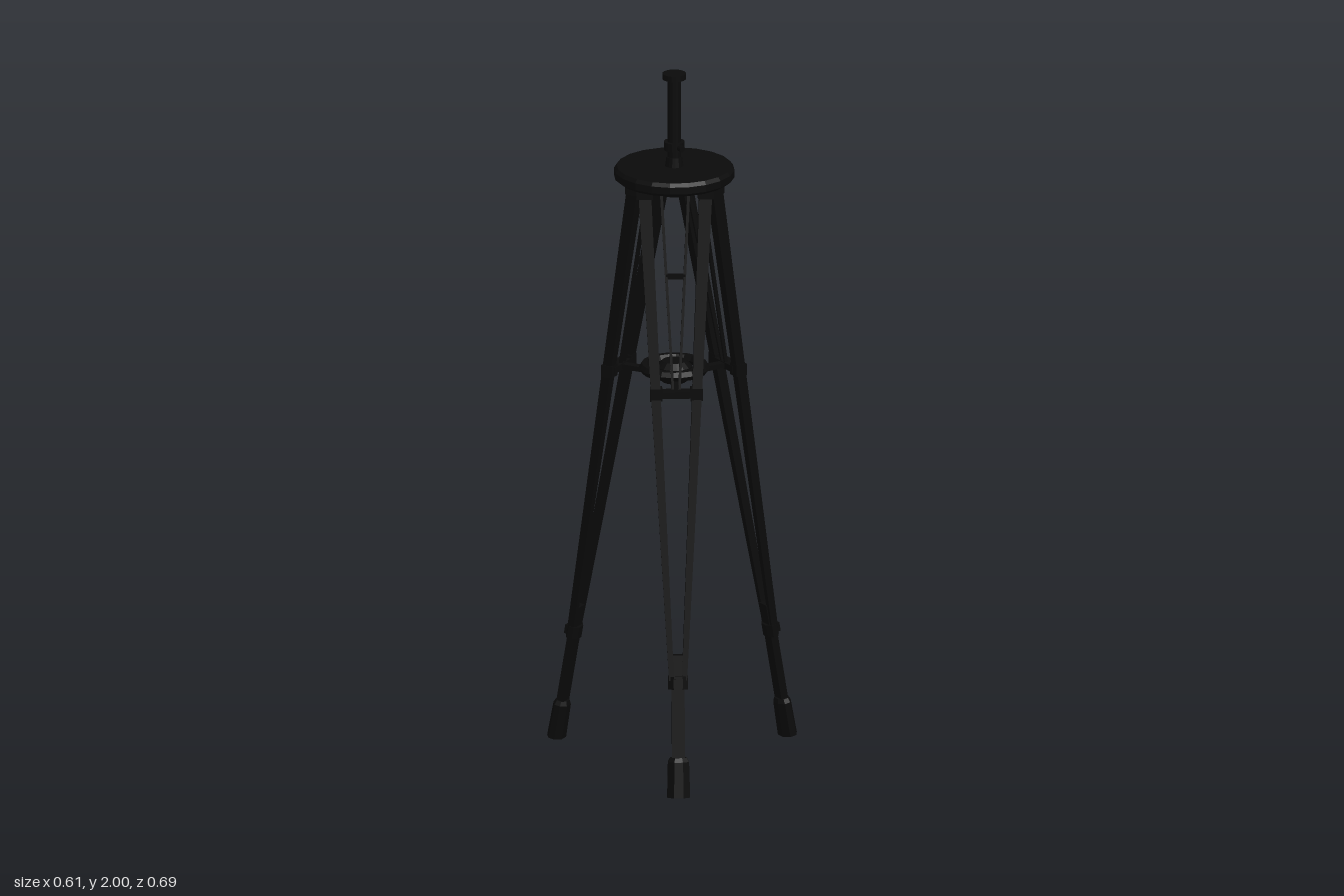
import * as THREE from 'three';

const mat = new THREE.MeshStandardMaterial({ color: 0x0a0a0a, flatShading: true, side: THREE.DoubleSide });
const AXIS_X = -0.088;           // the column stands off centre
const TILT = Math.atan(0.178);   // lean of each leg

function add(parent, name, geometry, x = 0, y = 0, z = 0) {
  const mesh = new THREE.Mesh(geometry, mat);
  mesh.name = name;
  mesh.position.set(x, y, z);
  parent.add(mesh);
  return mesh;
}

// Solid of revolution from [radius, height] pairs
function turned(profile, sides) {
  return new THREE.LatheGeometry(profile.map(([r, y]) => new THREE.Vector2(r, y)), sides);
}

// Tapered bar between two points; sections are [depth in x, width in z]
function beam(a, b, sa, sb) {
  const geo = new THREE.BoxGeometry(1, 1, 1);
  const p = geo.attributes.position;
  for (let i = 0; i < p.count; i++) {
    const t = p.getY(i) + 0.5;
    const mix = (u, v) => u + (v - u) * t;
    p.setXYZ(i,
      mix(a[0], b[0]) + p.getX(i) * mix(sa[0], sb[0]),
      mix(a[1], b[1]),
      mix(a[2], b[2]) + p.getZ(i) * mix(sa[1], sb[1]));
  }
  geo.computeVertexNormals();
  return geo;
}

// Eight-sided sleeve, wider across the leg than along its lean
function sleeve(rTop, rBottom, height, stretch) {
  const geo = new THREE.CylinderGeometry(rTop, rBottom, height, 8, 1, false, Math.PI / 8);
  geo.scale(1, 1, stretch);
  return geo;
}

// One leg, pointing along +x from the column axis
function makeLeg() {
  const leg = new THREE.Group();
  leg.name = 'leg';
  for (const s of [-1, 1]) {
    add(leg, 'legRail', beam([0.314, 0.33, s * 0.018], [0.074, 1.70, s * 0.086], [0.02, 0.014], [0.034, 0.036]));
    add(leg, 'braceRod', beam([0.163, 1.13, s * 0.009], [0.062, 1.67, s * 0.038], [0.01, 0.007], [0.01, 0.008]));
    add(leg, 'hingeBlock', new THREE.BoxGeometry(0.045, 0.04, 0.045), 0.075, 1.682, s * 0.085);
    add(leg, 'railBracket', new THREE.BoxGeometry(0.034, 0.034, 0.034), 0.175, 1.12, s * 0.056);
  }
  add(leg, 'braceCrossbar', new THREE.BoxGeometry(0.01, 0.014, 0.054), 0.105, 1.44, 0);
  add(leg, 'legCrossbar', new THREE.BoxGeometry(0.036, 0.018, 0.11), 0.175, 1.12, 0);
  add(leg, 'spreaderArm', new THREE.BoxGeometry(0.13, 0.014, 0.024), 0.115, 1.12, 0);

  // Lower leg, built upright and then leaned
  const lower = new THREE.Group();
  lower.name = 'lowerLeg';
  lower.position.set(0.37, 0.004, 0);
  lower.rotation.z = TILT;
  add(lower, 'lowerTube', new THREE.BoxGeometry(0.022, 0.33, 0.036), 0, 0.235, 0);
  add(lower, 'clamp', sleeve(0.02, 0.02, 0.036, 1.5), 0, 0.322, 0);
  add(lower, 'clampLever', new THREE.BoxGeometry(0.014, 0.026, 0.026), 0.018, 0.322, 0);
  add(lower, 'foot', sleeve(0.023, 0.025, 0.1, 1.38), 0, 0.05, 0);
  add(lower, 'footCollar', sleeve(0.018, 0.023, 0.012, 1.38), 0, 0.106, 0);
  leg.add(lower);
  return leg;
}

export function createModel() {
  const model = new THREE.Group();
  model.name = 'tripod';
  const body = new THREE.Group();
  body.name = 'tripodBody';
  body.position.x = AXIS_X;
  model.add(body);

  // Head plate with bevelled rim, and the boss below it
  add(body, 'headPlate', turned([[0, 1.69], [0.155, 1.69], [0.168, 1.7], [0.168, 1.72], [0.16, 1.73], [0, 1.73]], 20));
  add(body, 'headBoss', turned([[0, 1.65], [0.042, 1.65], [0.05, 1.675], [0.1, 1.678], [0.1, 1.69]], 20));

  // Centre column, its locking collar and top flange
  add(body, 'column', new THREE.CylinderGeometry(0.019, 0.019, 0.27, 16), 0, 1.86, 0);
  add(body, 'columnBase', new THREE.CylinderGeometry(0.022, 0.026, 0.03, 16), 0, 1.742, 0);
  add(body, 'lockCollar', new THREE.CylinderGeometry(0.029, 0.029, 0.024, 16), 0, 1.789, 0);
  add(body, 'lockKnob', new THREE.CylinderGeometry(0.009, 0.009, 0.022, 10), 0, 1.789, 0.032).rotation.x = Math.PI / 2;
  add(body, 'topFlange', new THREE.CylinderGeometry(0.033, 0.033, 0.016, 16), 0, 1.992, 0);

  // Spreader: open ring on a hub
  const ring = add(body, 'spreaderRing', new THREE.TorusGeometry(0.083, 0.015, 6, 20), 0, 1.14, 0);
  ring.rotation.x = Math.PI / 2;
  add(body, 'spreaderHub', turned([[0, 1.1], [0.034, 1.1], [0.05, 1.115], [0.05, 1.145], [0.034, 1.16], [0, 1.16]], 16));

  for (let i = 0; i < 3; i++) {
    const leg = makeLeg();
    leg.rotation.y = (i * 2 * Math.PI) / 3;
    body.add(leg);
    // Spokes between hub and ring, between the legs
    const spoke = new THREE.Group();
    spoke.name = 'spreaderSpoke';
    spoke.rotation.y = leg.rotation.y + Math.PI / 3;
    add(spoke, 'spokeBar', new THREE.BoxGeometry(0.05, 0.014, 0.02), 0.06, 1.135, 0);
    body.add(spoke);
  }
  return model;
}
